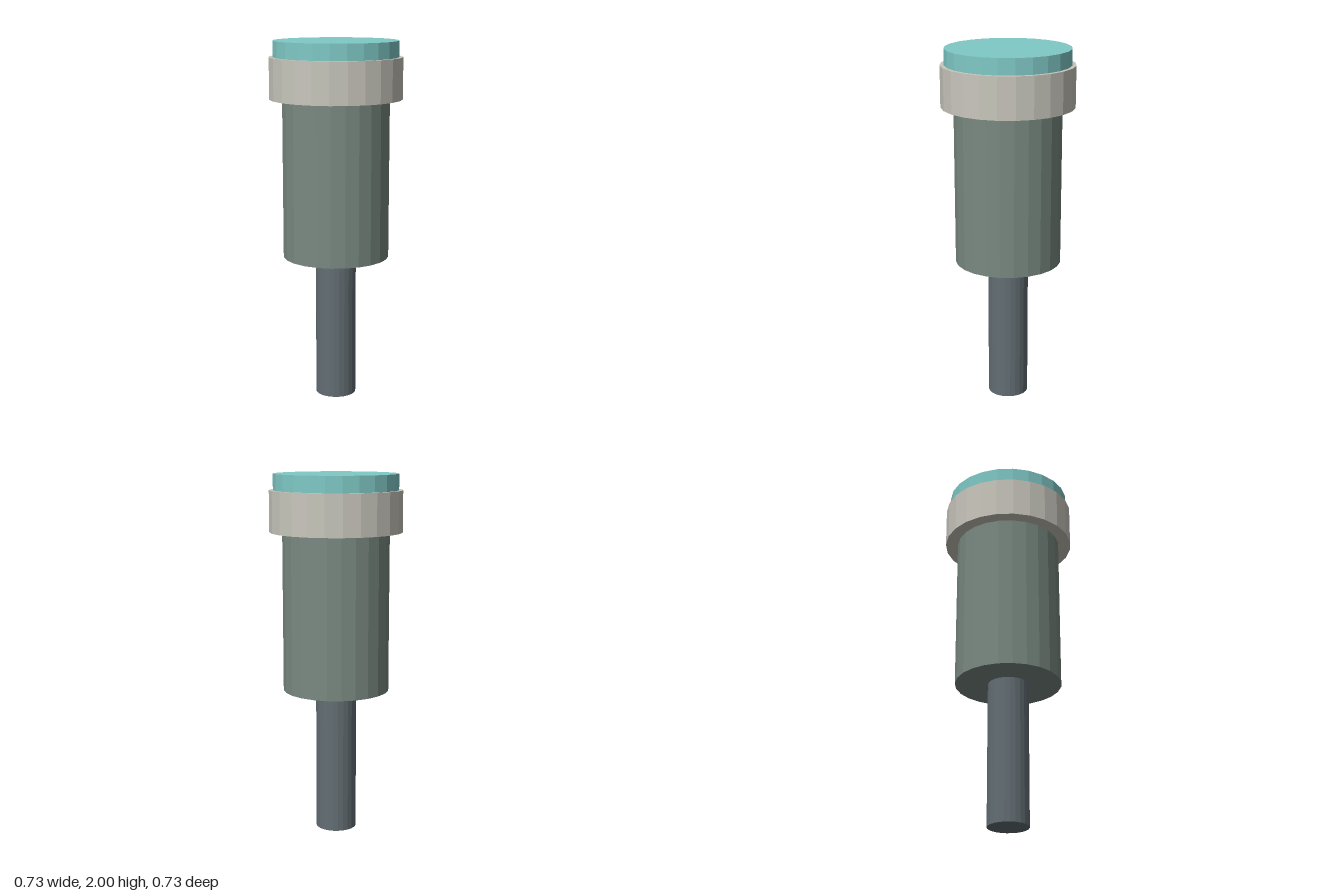
import * as THREE from 'three';

const SIDES = 24;

function paint(name, color) {
  const material = new THREE.MeshStandardMaterial({ color, flatShading: true });
  material.name = name;
  return material;
}

export function createModel() {
  const model = new THREE.Group();
  model.name = 'plungerButton';

  // One faceted, closed cylinder between two heights
  function addCylinder(name, radius, bottom, top, material) {
    const geometry = new THREE.CylinderGeometry(radius, radius, top - bottom, SIDES);
    const mesh = new THREE.Mesh(geometry, material);
    mesh.name = name;
    mesh.position.y = (bottom + top) / 2;
    model.add(mesh);
  }

  // Thin stem, main barrel, wide collar and button cap, bottom to top
  addCylinder('stem', 0.113, 0, 0.805, paint('slate grey', 0x636e73));
  addCylinder('barrel', 0.295, 0.805, 1.685, paint('grey green', 0x7a8a82));
  addCylinder('collar', 0.365, 1.685, 1.912, paint('warm grey', 0xc9c7bd));
  addCylinder('buttonCap', 0.343, 1.912, 2, paint('turquoise', 0x80cac7));

  return model;
}
